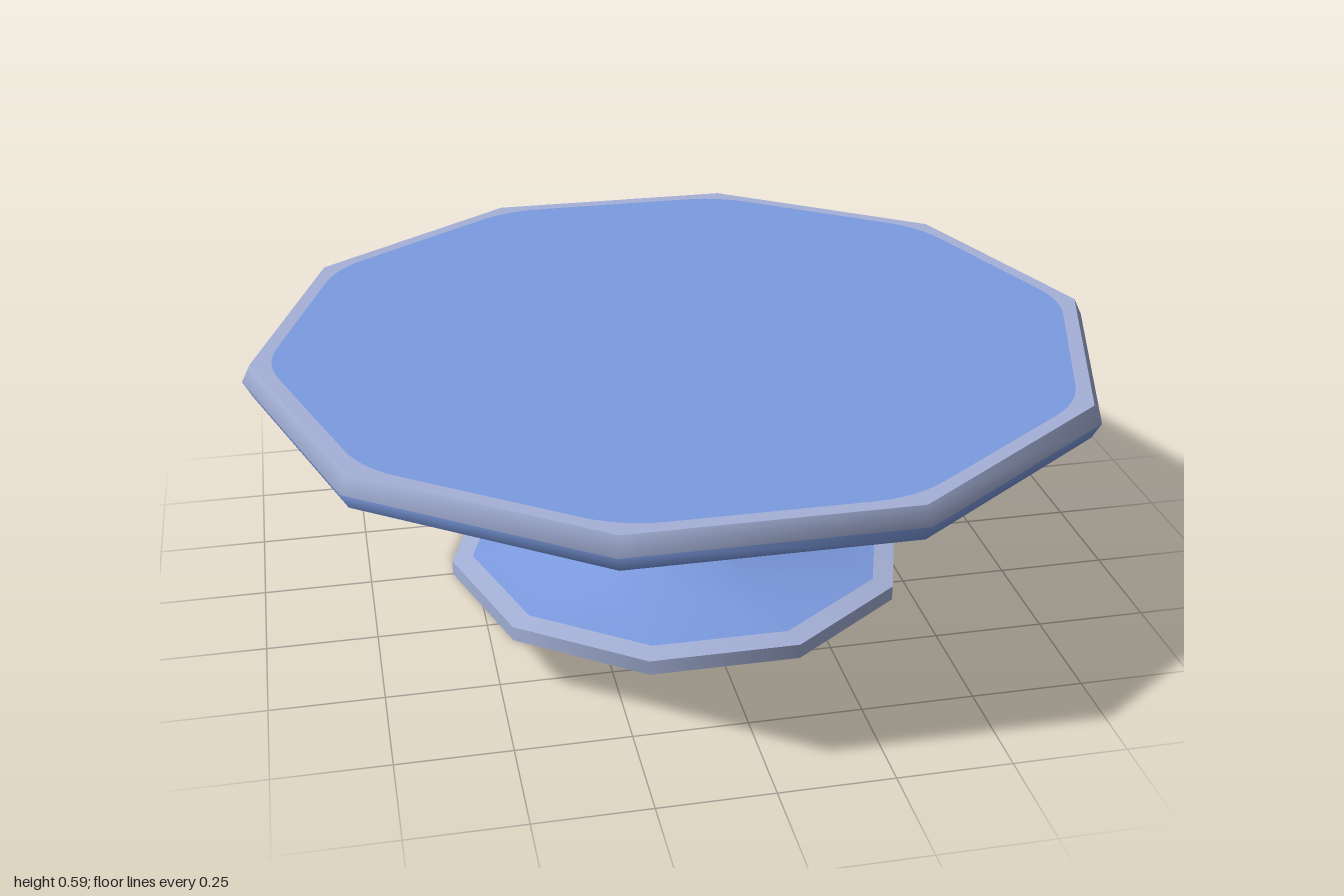
import * as THREE from 'three';

const SIDES = 10;
const blue = new THREE.MeshStandardMaterial({ name: 'blue', color: 0x7c9be0 });
const paleBlue = new THREE.MeshStandardMaterial({ name: 'paleBlue', color: 0xa5b1d8 });

// Ten-sided turned part; bands[j] is the material of profile segment j
function turned(name, profile, bands) {
  const points = profile.map(([r, y]) => new THREE.Vector2(r, y));
  const geometry = new THREE.LatheGeometry(points, SIDES, Math.PI / 2);
  const materials = [blue, paleBlue];
  for (let i = 0; i < SIDES; i++) {
    bands.forEach((band, j) =>
      geometry.addGroup((i * bands.length + j) * 6, 6, materials.indexOf(band)));
  }
  const mesh = new THREE.Mesh(geometry, materials);
  mesh.name = name;
  return mesh;
}

// Decagon outline with corners softened over the given length
function traceDecagon(path, radius, soft) {
  const corner = (i) => new THREE.Vector2(
    radius * Math.cos((i * 2 * Math.PI) / SIDES), radius * Math.sin((i * 2 * Math.PI) / SIDES));
  for (let i = 0; i < SIDES; i++) {
    const c = corner(i);
    const side = 2 * radius * Math.sin(Math.PI / SIDES);
    const a = c.clone().lerp(corner(i - 1), soft / side);
    const b = c.clone().lerp(corner(i + 1), soft / side);
    if (i === 0) path.moveTo(a.x, a.y);
    else path.lineTo(a.x, a.y);
    if (soft > 0) path.quadraticCurveTo(c.x, c.y, b.x, b.y);
  }
  path.closePath();
  return path;
}

// Flat horizontal face at height y, looking up or down
function flat(name, geometry, material, y, up = true) {
  const mesh = new THREE.Mesh(geometry, material);
  mesh.name = name;
  mesh.rotation.x = up ? -Math.PI / 2 : Math.PI / 2;
  mesh.position.y = y;
  return mesh;
}

export function createModel() {
  const stand = new THREE.Group();
  stand.name = 'cakeStand';

  // Foot: flat bottom, upright pale edge
  stand.add(flat('footBottom', new THREE.CircleGeometry(0.555, SIDES), blue, 0, false));
  stand.add(turned('footEdge', [[0.555, 0], [0.555, 0.035]], [paleBlue]));

  // Foot slope sweeping up into the stem, flaring under the plate
  stand.add(turned('stem', [
    [0.555, 0.035], [0.505, 0.044], [0.305, 0.08], [0.19, 0.15], [0.13, 0.215],
    [0.113, 0.3], [0.113, 0.41], [0.2, 0.515],
  ], [paleBlue, blue, blue, blue, blue, blue, blue]));

  // Plate: underside, bevelled rim, pale border and blue top
  stand.add(flat('plateUnderside', new THREE.CircleGeometry(0.98, SIDES), blue, 0.513, false));
  stand.add(turned('plateRim', [[0.98, 0.513], [1, 0.55], [0.98, 0.59]], [blue, paleBlue]));
  const border = traceDecagon(new THREE.Shape(), 0.98, 0);
  border.holes.push(traceDecagon(new THREE.Path(), 0.945, 0.09));
  stand.add(flat('plateBorder', new THREE.ShapeGeometry(border, 6), paleBlue, 0.59));
  const top = traceDecagon(new THREE.Shape(), 0.945, 0.09);
  stand.add(flat('plateTop', new THREE.ShapeGeometry(top, 6), blue, 0.59));

  return stand;
}
